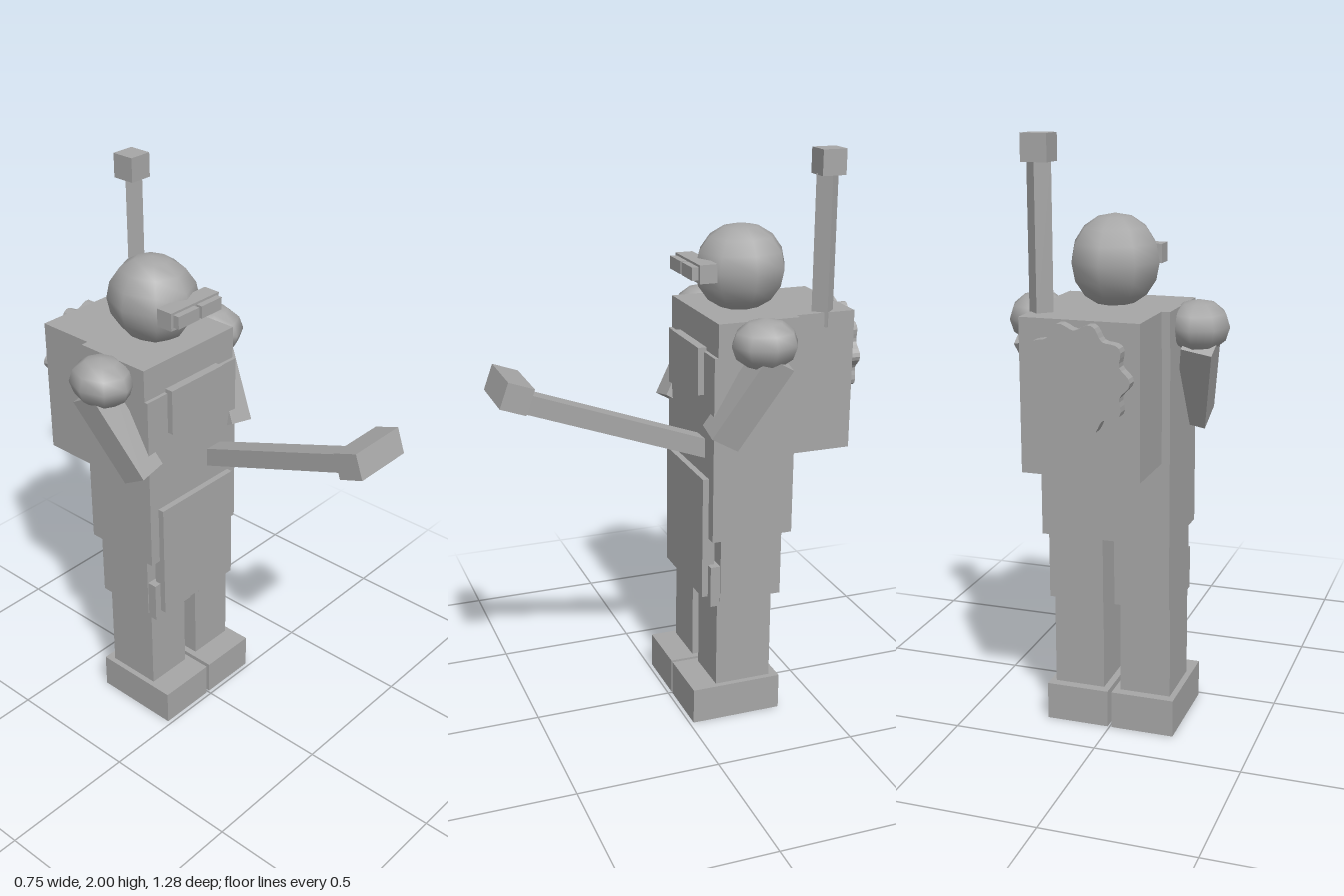
import * as THREE from 'three';

export function createModel() {
  const model = new THREE.Group();
  const grey = new THREE.MeshStandardMaterial({ color: 0xa6a6a6 });
  grey.name = 'plain grey';

  const add = (name, geometry) => {
    const mesh = new THREE.Mesh(geometry, grey);
    mesh.name = name;
    model.add(mesh);
    return mesh;
  };
  // Box given by its limits on each axis
  const box = (name, x0, x1, y0, y1, z0, z1) => {
    const mesh = add(name, new THREE.BoxGeometry(x1 - x0, y1 - y0, z1 - z0));
    mesh.position.set((x0 + x1) / 2, (y0 + y1) / 2, (z0 + z1) / 2);
    return mesh;
  };
  // Box running from one point to another
  const beam = (name, from, to, width, depth) => {
    const a = new THREE.Vector3(...from), b = new THREE.Vector3(...to);
    const mesh = add(name, new THREE.BoxGeometry(width, a.distanceTo(b), depth));
    mesh.position.copy(a).add(b).multiplyScalar(0.5);
    mesh.quaternion.setFromUnitVectors(new THREE.Vector3(0, 1, 0), b.clone().sub(a).normalize());
    return mesh;
  };
  const ball = (name, x, y, z, rx, ry, rz, rows) => {
    const geometry = new THREE.SphereGeometry(1, 8, rows).scale(rx, ry, rz);
    add(name, geometry).position.set(x, y, z);
  };

  // Mirrored limbs: each pair is built from its inner and outer limits
  for (const side of [1, -1]) {
    const label = side > 0 ? 'left' : 'right';
    const pair = (name, inner, outer, ...rest) => box(label + name,
      Math.min(side * inner, side * outer), Math.max(side * inner, side * outer), ...rest);
    pair('Foot', 0.007, 0.225, 0, 0.13, -0.345, -0.015);
    pair('Shin', 0.03, 0.205, 0.13, 0.46, -0.313, -0.107);
    pair('Thigh', 0.02, 0.21, 0.455, 0.69, -0.345, -0.117);
    pair('KneePad', 0.022, 0.206, 0.44, 0.59, -0.15, -0.082);
    ball(label + 'ShoulderPad', side * 0.272, 1.395, -0.237, 0.102, 0.085, 0.118, 6);
    beam(label + 'Arm', [side * 0.225, 1.07, -0.103], [side * 0.288, 1.35, -0.27], 0.1, 0.11);
    pair('GoggleLens', 0.006, 0.104, 1.583, 1.627, -0.08, -0.045);
  }

  // Body and armour plates
  box('torso', -0.22, 0.22, 0.69, 1.345, -0.378, -0.082);
  box('shoulderYoke', -0.22, 0.22, 1.345, 1.46, -0.385, -0.095);
  box('chestPlate', -0.125, 0.125, 1.195, 1.36, -0.09, -0.06);
  box('apron', -0.18, 0.18, 0.47, 0.91, -0.105, -0.06);

  // Head and goggles
  ball('head', 0, 1.595, -0.26, 0.148, 0.15, 0.165, 8);
  box('goggleFrame', -0.115, 0.115, 1.572, 1.635, -0.13, -0.068);

  // Backpack with a scalloped disc on its rear face
  box('backpack', -0.193, 0.193, 0.97, 1.46, -0.6, -0.373);
  const outline = [];
  for (let i = 0; i < 80; i++) {
    const a = (i / 80) * Math.PI * 2;
    const r = 0.162 + 0.013 * Math.cos(10 * a);
    outline.push(new THREE.Vector2(r * Math.cos(a), r * Math.sin(a)));
  }
  const disc = new THREE.ExtrudeGeometry(new THREE.Shape(outline), { depth: 0.05, bevelEnabled: false });
  add('backpackDisc', disc).position.set(0, 1.287, -0.64);

  // Antenna: four-sided pole set corner-on, with a block on top
  const pole = new THREE.CylinderGeometry(0.04, 0.04, 0.51, 4).toNonIndexed();
  pole.computeVertexNormals();
  add('antennaPole', pole).position.set(0.16, 1.665, -0.495);
  box('antennaTip', 0.115, 0.2, 1.915, 2, -0.543, -0.458);

  // Hammer held out in front
  beam('hammerShaft', [0.106, 0.995, -0.12], [0.106, 1.243, 0.56], 0.07, 0.065);
  const hammer = box('hammerHead', -0.008, 0.217, 1.233, 1.323, 0.535, 0.625);
  hammer.rotation.x = -0.35;
  hammer.position.z = 0.58;

  // Tilt the hammer head to follow its shaft
  hammer.rotation.x = -Math.atan2(1.243 - 0.995, 0.56 + 0.12);
  return model;
}
